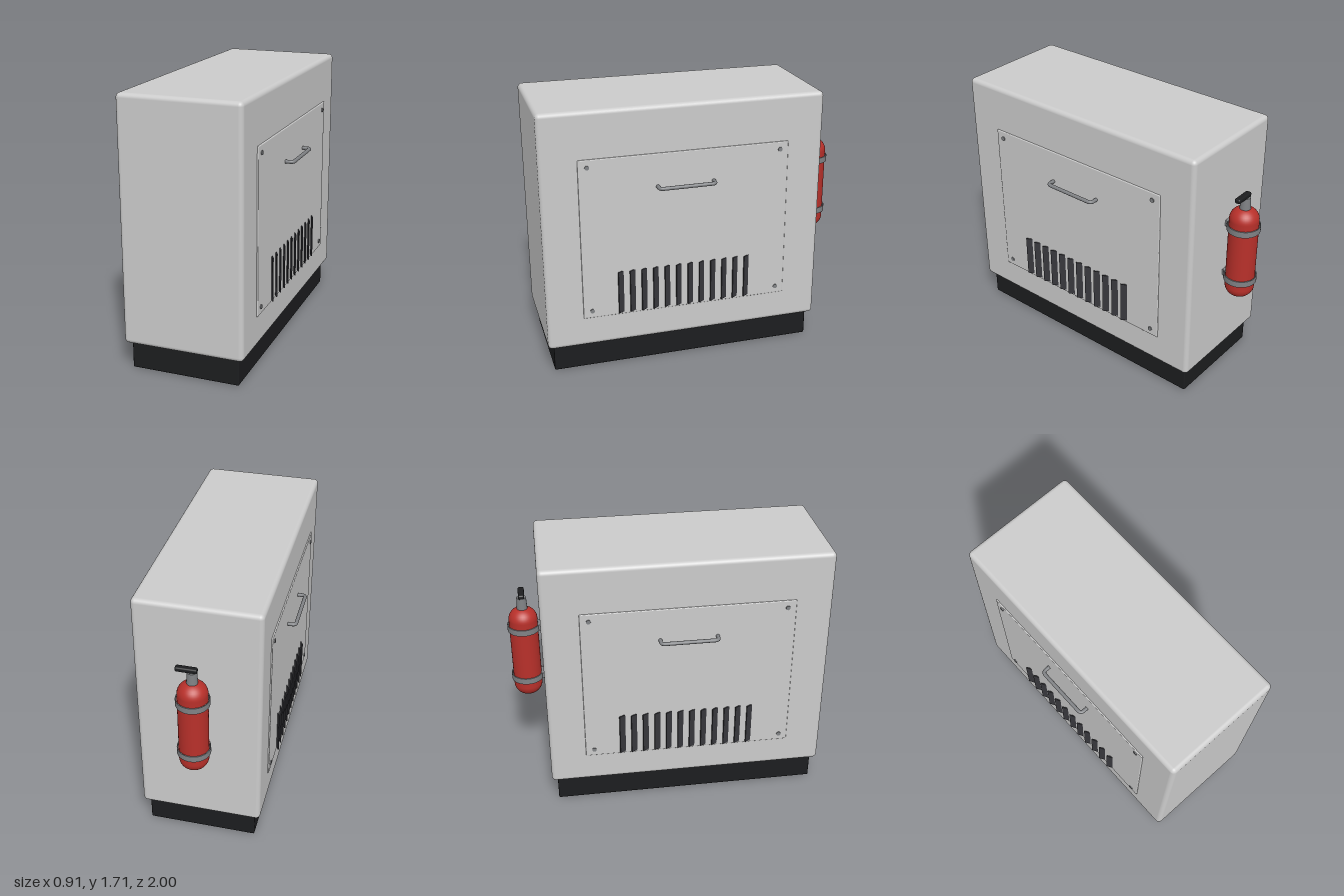
import * as THREE from 'three';
import { RoundedBoxGeometry } from 'three/addons/geometries/RoundedBoxGeometry.js';

const mat = (color, side = THREE.FrontSide) => new THREE.MeshStandardMaterial({ color, side });
const grey = mat(0xcccccc);
const metal = mat(0x808285);
const plinthBlack = mat(0x1c1d1f);
const slatDark = mat(0x38383d);
const red = mat(0xb8302a);

function add(parent, name, geometry, material, x = 0, y = 0, z = 0) {
  const mesh = new THREE.Mesh(geometry, material);
  mesh.name = name;
  mesh.position.set(x, y, z);
  parent.add(mesh);
  return mesh;
}

// Bent bar handle: two legs and a grip joined by rounded corners
function handleGeometry() {
  const v = (x, z) => new THREE.Vector3(x, 0, z);
  const out = 0.443, half = 0.178, bend = 0.025;
  const path = new THREE.CurvePath();
  path.add(new THREE.LineCurve3(v(0.375, -half), v(out - bend, -half)));
  path.add(new THREE.QuadraticBezierCurve3(v(out - bend, -half), v(out, -half), v(out, -half + bend)));
  path.add(new THREE.LineCurve3(v(out, -half + bend), v(out, half - bend)));
  path.add(new THREE.QuadraticBezierCurve3(v(out, half - bend), v(out, half), v(out - bend, half)));
  path.add(new THREE.LineCurve3(v(out - bend, half), v(0.375, half)));
  return new THREE.TubeGeometry(path, 80, 0.012, 12);
}

// Access door with screws, handle and vent slats, facing +x
function createDoor(name) {
  const door = new THREE.Group();
  door.name = name;
  add(door, 'doorPanel', new RoundedBoxGeometry(0.03, 1.045, 1.33, 2, 0.006), grey, 0.377, 0.888, 0);

  const screw = new THREE.CylinderGeometry(0.014, 0.014, 0.012, 16);
  for (const y of [0.413, 1.362]) {
    for (const z of [-0.61, 0.61]) {
      add(door, 'screw', screw, metal, 0.392, y, z).rotation.z = -Math.PI / 2;
    }
  }

  add(door, 'handle', handleGeometry(), metal, 0, 1.2, 0);

  const slat = new THREE.BoxGeometry(0.007, 0.283, 0.048);
  for (let i = 0; i < 12; i++) {
    add(door, 'ventSlat', slat, slatDark, 0.398, 0.523, -0.403 + i * 0.075).rotation.y = 0.52;
  }
  return door;
}

// Flat strap ring with real thickness
function strapGeometry(inner, outer, height) {
  const h = height / 2;
  const shape = new THREE.Shape().absarc(0, 0, outer, 0, Math.PI * 2);
  shape.holes.push(new THREE.Path().absarc(0, 0, inner, 0, Math.PI * 2, true));
  const g = new THREE.ExtrudeGeometry(shape, { depth: height, bevelEnabled: false, curveSegments: 32 });
  return g.translate(0, 0, -h).rotateX(Math.PI / 2);
}

function createExtinguisher() {
  const group = new THREE.Group();
  group.name = 'fireExtinguisher';

  // Tank with domed ends
  const r = 0.091, bottom = 0.645, top = 1.28, dome = 0.08, n = 10;
  const profile = [];
  for (let i = 0; i <= n; i++) {
    const a = (i / n) * Math.PI / 2;
    profile.push(new THREE.Vector2(r * Math.sin(a), bottom + dome * (1 - Math.cos(a))));
  }
  for (let i = 0; i <= n; i++) {
    const a = (i / n) * Math.PI / 2;
    profile.push(new THREE.Vector2(r * Math.cos(a), top - dome * (1 - Math.sin(a))));
  }
  add(group, 'tank', new THREE.LatheGeometry(profile, 40), red);

  // Valve and lever
  add(group, 'valve', new THREE.CylinderGeometry(0.03, 0.034, 0.085, 20), metal, 0, 1.308, 0);
  add(group, 'lever', new RoundedBoxGeometry(0.13, 0.03, 0.038, 3, 0.01), plinthBlack, 0.033, 1.361, 0);

  // Straps and wall brackets
  const strap = strapGeometry(0.096, 0.102, 0.04);
  for (const y of [0.785, 1.145]) {
    add(group, 'strap', strap, metal, 0, y, 0);
    add(group, 'wallBracket', new THREE.BoxGeometry(0.08, 0.04, 0.025), metal, 0, y, 0.1);
  }
  return group;
}

export function createModel() {
  const model = new THREE.Group();
  model.name = 'equipmentCabinet';
  const midZ = 0.105;

  // Cabinet on a recessed plinth
  add(model, 'cabinet', new RoundedBoxGeometry(0.768, 1.535, 1.79, 4, 0.028), grey, 0, 0.938, midZ);
  add(model, 'plinth', new RoundedBoxGeometry(0.69, 0.2, 1.715, 2, 0.008), plinthBlack, 0, 0.1, midZ);

  // The right-hand door is the left one turned half way round
  for (const [name, turn] of [['leftDoor', 0], ['rightDoor', Math.PI]]) {
    const door = createDoor(name);
    door.position.z = midZ;
    door.rotation.y = turn;
    model.add(door);
  }

  const extinguisher = createExtinguisher();
  extinguisher.position.z = -0.896;
  model.add(extinguisher);
  return model;
}
